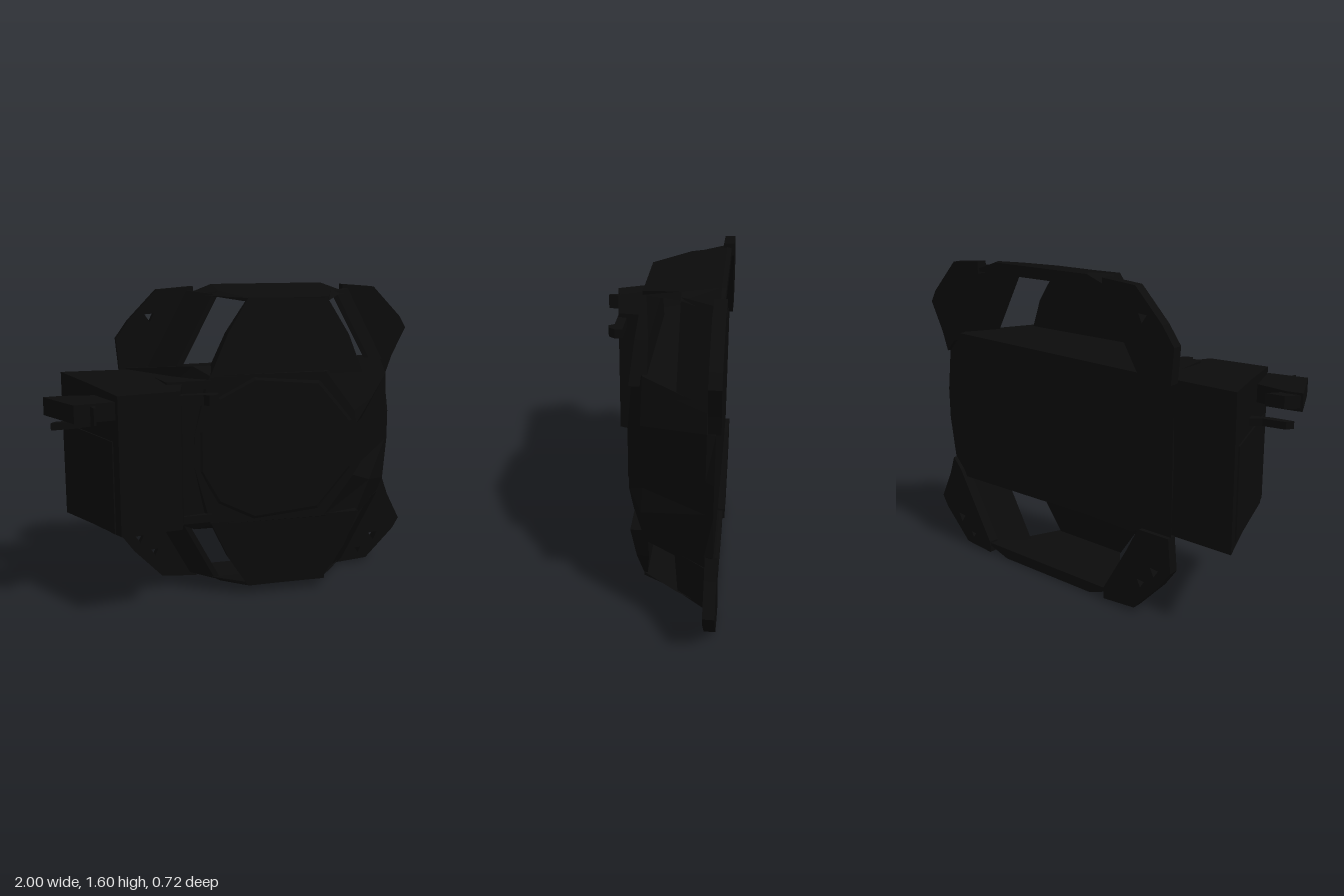
import * as THREE from 'three';

export function createModel() {
  const root = new THREE.Group();
  root.name = 'housing';
  const black = new THREE.MeshStandardMaterial({ color: 0x0b0b0b, flatShading: true, side: THREE.DoubleSide });
  black.name = 'black';

  const add = (name, geometry, parent = root) => {
    const mesh = new THREE.Mesh(geometry, black);
    mesh.name = name;
    parent.add(mesh);
    return mesh;
  };

  // Solid through rings of equal point count, with caps fanned from their centres
  const loft = (rings) => {
    const pos = [];
    const n = rings[0].length;
    for (let r = 0; r < rings.length - 1; r++) {
      for (let i = 0; i < n; i++) {
        const j = (i + 1) % n;
        const [a, b, c, d] = [rings[r][i], rings[r][j], rings[r + 1][j], rings[r + 1][i]];
        pos.push(...a, ...b, ...c, ...a, ...c, ...d);
      }
    }
    [rings[0], rings[rings.length - 1]].forEach((ring, end) => {
      const mid = [0, 1, 2].map((k) => ring.reduce((s, p) => s + p[k], 0) / n);
      for (let i = 0; i < n; i++) {
        const j = (i + 1) % n;
        pos.push(...mid, ...(end ? ring[i] : ring[j]), ...(end ? ring[j] : ring[i]));
      }
    });
    // Turn the solid the right way out if its signed volume is negative
    let volume = 0;
    const [a, b, c] = [new THREE.Vector3(), new THREE.Vector3(), new THREE.Vector3()];
    for (let t = 0; t < pos.length; t += 9) {
      volume += a.fromArray(pos, t).dot(b.fromArray(pos, t + 3).cross(c.fromArray(pos, t + 6)));
    }
    if (volume < 0) {
      for (let t = 0; t < pos.length; t += 9) {
        for (let k = 0; k < 3; k++) [pos[t + k], pos[t + 3 + k]] = [pos[t + 3 + k], pos[t + k]];
      }
    }
    const g = new THREE.BufferGeometry();
    g.setAttribute('position', new THREE.Float32BufferAttribute(pos, 3));
    g.computeVertexNormals();
    return g;
  };

  const atZ = (pts, z) => pts.map(([x, y]) => [x, y, z]);
  // Upright prism from an [x, z] outline
  const prism = (pts, y0, y1) => loft([y0, y1].map((y) => pts.map(([x, z]) => [x, y, z])));
  // Mirror points between the upper and lower half
  const flip = (pts, s) => pts.map(([x, y, z]) => (z === undefined ? [x, s > 0 ? y : 1.6 - y] : [x, s > 0 ? y : 1.6 - y, z]));

  // Flat plate with small triangular mounting holes
  const plate = (pts, holes, z0, z1) => {
    const shape = new THREE.Shape(pts.map((p) => new THREE.Vector2(...p)));
    holes.forEach(([x, y, r]) => {
      const tri = [0, 1, 2].map((i) => new THREE.Vector2(x + r * Math.cos(2.1 * i + 0.6), y + r * Math.sin(2.1 * i + 0.6)));
      shape.holes.push(new THREE.Path(tri));
    });
    return new THREE.ExtrudeGeometry(shape, { depth: z1 - z0, bevelEnabled: false }).translate(0, 0, z0);
  };

  // Central body: wide at the back, narrowing to the front, with a dip on its left side
  const half = (pts) => [...pts, ...flip(pts, -1).reverse()];
  add('body', loft([
    atZ(half([[-0.59, 0.88], [-0.59, 1.18], [0.84, 1.2], [0.89, 1.1], [0.92, 0.88]]), -0.338),
    atZ(half([[-0.57, 0.88], [-0.55, 1.18], [0.84, 1.2], [0.885, 1.1], [0.89, 0.88]]), -0.3),
    atZ(half([[-0.34, 0.88], [-0.27, 1.22], [0.6, 1.22], [0.68, 1.02], [0.63, 0.92]]), 0),
    atZ(half([[-0.28, 0.88], [-0.2, 1.18], [0.4, 1.18], [0.56, 0.97], [0.57, 0.9]]), 0.068),
  ]));

  // Shallow many-sided cover on the front
  add('frontCover', loft([
    atZ(half([[-0.26, 0.9], [-0.17, 1.08], [0.02, 1.18], [0.38, 1.15], [0.56, 0.93]]), 0.06),
    atZ(half([[-0.24, 0.9], [-0.15, 1.06], [0.03, 1.15], [0.36, 1.12], [0.53, 0.92]]), 0.076),
  ]));

  for (const s of [1, -1]) {
    const end = new THREE.Group();
    end.name = s > 0 ? 'upperFrame' : 'lowerFrame';
    root.add(end);

    // Sloping front arm
    add('frontArm', loft([
      flip([[-0.2, 1.17, 0.07], [0.6, 1.17, 0.06], [0.6, 1.17, -0.02], [-0.2, 1.17, -0.02]], s),
      flip([[-0.1, 1.38, 0.04], [0.53, 1.36, 0.04], [0.53, 1.36, -0.02], [-0.1, 1.38, -0.02]], s),
      flip([[0.01, 1.55, 0.015], [0.42, 1.545, 0.015], [0.42, 1.545, 0.0], [0.01, 1.55, 0.0]], s),
    ]), end);

    // Bridge from the arm back to the rim
    add('bridge', loft([
      flip([[0.01, 1.53, 0.015], [0.43, 1.53, 0.015], [0.43, 1.548, 0.015], [0.01, 1.548, 0.015]], s),
      flip([[-0.14, 1.55, -0.16], [0.55, 1.55, -0.16], [0.5, 1.575, -0.16], [-0.1, 1.575, -0.16]], s),
      flip([[-0.25, 1.54, -0.33], [0.67, 1.54, -0.33], [0.5, 1.6, -0.33], [-0.1, 1.6, -0.33]], s),
      flip([[-0.25, 1.54, -0.35], [0.67, 1.54, -0.35], [0.5, 1.595, -0.35], [-0.1, 1.595, -0.35]], s),
    ]), end);

    // Corner mounting wings
    const rightHoles = s > 0 ? [[-0.43, 1.44, 0.028]] : [[-0.51, 0.25, 0.028], [-0.43, 0.17, 0.025]];
    const leftHoles = s > 0 ? [] : [[0.84, 0.16, 0.03], [0.75, 0.08, 0.02]];
    add('rightWing', plate(flip([[-0.59, 1.16], [-0.605, 1.33], [-0.54, 1.42], [-0.39, 1.575],
      [-0.2, 1.59], [-0.2, 1.53], [-0.42, 1.16]], s), rightHoles, -0.36, -0.31), end);
    add('leftWing', plate(flip([[0.885, 1.1], [0.92, 1.2], [0.995, 1.35], [0.96, 1.41], [0.8, 1.575],
      [0.62, 1.59], [0.62, 1.53], [0.83, 1.16]], s), leftHoles, -0.36, -0.305), end);

    // Slanted walls rising from the wings to the openings
    const wall = (name, x0, x1, x2, x3, t) => add(name, loft([0, t].map((d) => flip([
      [x0 + d, 1.18, -0.33], [x1 + d, 1.57, -0.33], [x2 + d, 1.56, -0.16], [x3 + d, 1.18, -0.16],
    ], s))), end);
    wall('rightWall', -0.43, -0.22, -0.1, -0.3, -0.03);
    wall('leftWall', 0.85, 0.64, 0.5, 0.71, 0.03);
  }

  // Side box, slightly taller at the back
  const box = prism([[-0.89, -0.3], [-0.785, -0.02], [-0.68, 0.29], [-0.38, 0.245], [-0.34, 0.08], [-0.2, 0.05], [-0.3, -0.3]], -0.36, 0.36);
  const p = box.attributes.position;
  for (let i = 0; i < p.count; i++) p.setY(i, 0.802 + p.getY(i) * (1.015 - 0.1 * (p.getZ(i) + 0.3) / 0.6 + 0.015));
  box.computeVertexNormals();
  add('sideBox', box);

  // Thin panel on the outer face of the box
  const panel = add('boxPanel', new THREE.BoxGeometry(0.008, 0.45, 0.5));
  panel.position.set(-0.785, 0.69, 0.0);
  panel.rotation.y = 0.343;

  // Ribs where the box meets the body
  for (const y of [0.46, 1.14]) {
    add('boxRib', prism([[-0.42, 0.1], [-0.2, 0.085], [-0.18, -0.1], [-0.45, -0.1]], y - 0.02, y + 0.02));
  }

  // Plug with a clip on the outer side
  const plug = new THREE.Group();
  plug.name = 'plug';
  root.add(plug);
  add('plugBody', prism([[-1, 0.065], [-0.92, 0.05], [-0.76, 0.07], [-0.69, 0.28], [-0.88, 0.32]], 1.025, 1.11), plug);
  add('plugLatch', prism([[-0.99, 0.06], [-0.94, 0.005], [-0.85, -0.005], [-0.9, 0.06]], 1.04, 1.1), plug);
  add('plugClip', prism([[-0.81, 0.28], [-0.78, 0.28], [-0.785, 0.36], [-0.795, 0.36]], 1.02, 1.1), plug);
  add('lowerHook', prism([[-0.97, 0.05], [-0.95, 0.015], [-0.84, -0.005], [-0.78, -0.05], [-0.77, 0.0], [-0.86, 0.035]], 0.945, 0.98), plug);

  // Small lever on the front of the box
  add('lever', prism([[-0.42, 0.25], [-0.27, 0.25], [-0.25, 0.28], [-0.215, 0.27], [-0.195, 0.24], [-0.195, 0.2], [-0.4, 0.2]], 1.07, 1.12));

  return root;
}
